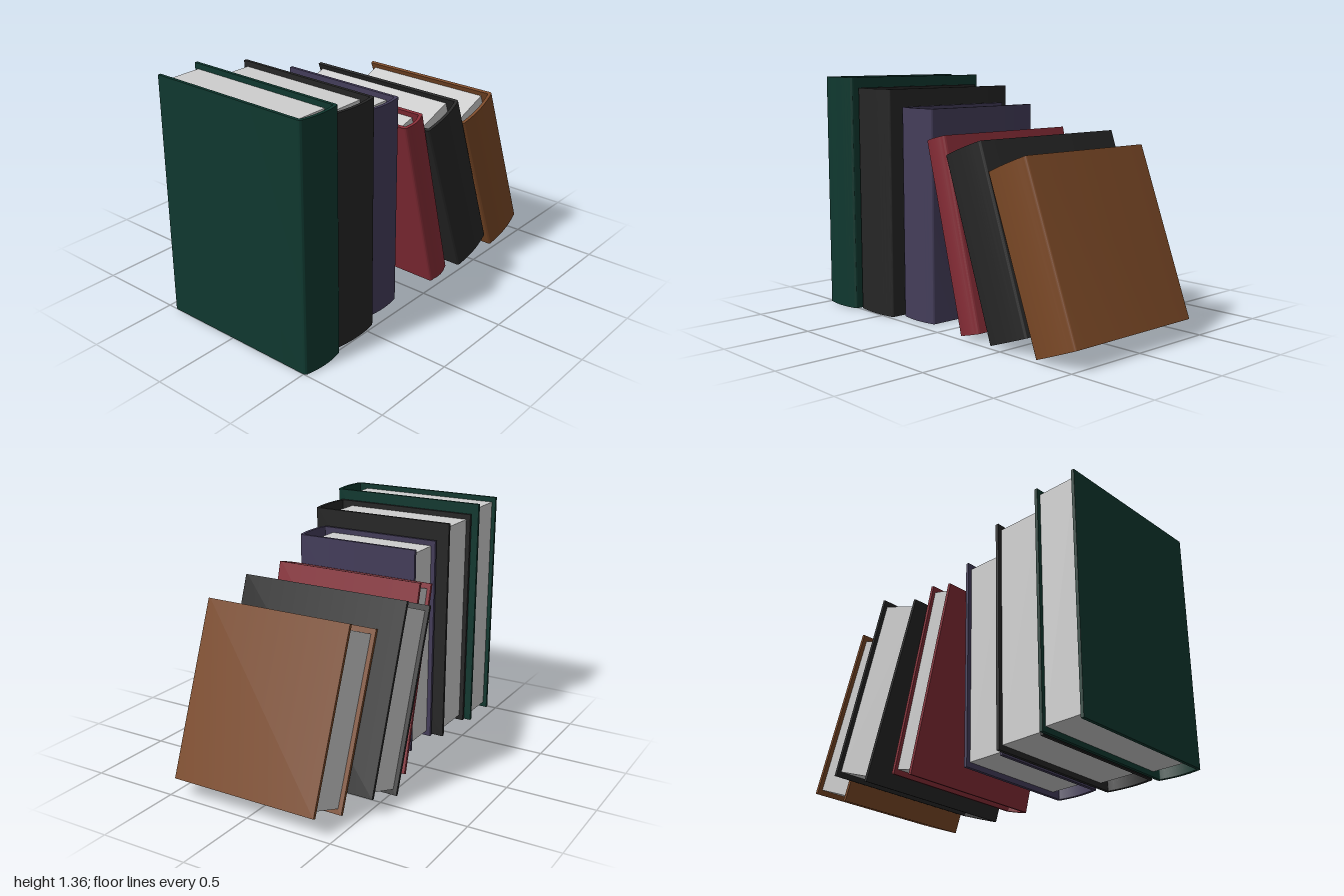
import * as THREE from 'three';
import { toCreasedNormals } from 'three/addons/utils/BufferGeometryUtils.js';

const T = 0.018; // cover board thickness
const INSET = 0.03; // pages sit inside the cover at top and bottom

const material = (name, color) => {
  const m = new THREE.MeshStandardMaterial({ color });
  m.name = name;
  return m;
};

// U-shaped cover outline (x, -z) with rounded corners and a gently bulging spine
function coverShape(w, back, front) {
  const s = new THREE.Shape();
  const r = 0.02, side = front - 0.032, edge = front - 0.013, bulge = front + 0.013;
  s.moveTo(0, -back);
  s.lineTo(0, -side);
  s.quadraticCurveTo(0, -edge, r, -edge);
  s.quadraticCurveTo(w / 2, -bulge, w - r, -edge);
  s.quadraticCurveTo(w, -edge, w, -side);
  s.lineTo(w, -back);
  s.lineTo(w - T, -back);
  s.lineTo(w - T, -(side - 0.004));
  s.quadraticCurveTo(w - T, -(edge - T), w - T - 0.008, -(edge - T));
  s.quadraticCurveTo(w / 2, -(bulge - T), T + 0.008, -(edge - T));
  s.quadraticCurveTo(T, -(edge - T), T, -(side - 0.004));
  s.lineTo(T, -back);
  s.closePath();
  return s;
}

// The book's origin is its lower left corner, about which it leans
function book(b, pageMaterial) {
  const g = new THREE.Group();
  g.name = b.name;

  let geo = new THREE.ExtrudeGeometry(coverShape(b.w, b.back, b.front),
    { depth: b.h, bevelEnabled: false, curveSegments: 10 });
  geo.rotateX(-Math.PI / 2);
  geo = toCreasedNormals(geo, 0.7);
  const cover = new THREE.Mesh(geo, b.mat);
  cover.name = 'cover';

  // page block, leaving a hollow behind the spine
  const [p0, p1] = b.pages;
  const pages = new THREE.Mesh(
    new THREE.BoxGeometry(b.w - 2 * T, b.h - 2 * INSET, p1 - p0), pageMaterial);
  pages.position.set(b.w / 2, b.h / 2, (p0 + p1) / 2);
  pages.name = 'pages';

  g.add(cover, pages);
  g.position.x = b.x;
  g.rotation.z = THREE.MathUtils.degToRad(b.lean || 0);
  return g;
}

export function createModel() {
  const paper = material('paper grey', 0xcdcdcd);
  const green = material('dark green', 0x0f382f);
  const black = material('black', 0x262626);
  const purple = material('muted purple', 0x443d5a);
  const red = material('dark red', 0x852c36);
  const brown = material('brown', 0x7a4826);

  const books = [
    { name: 'greenBook', mat: green, x: -1, w: 0.263, h: 1.36, back: -0.443, front: 0.53, pages: [-0.42, 0.445] },
    { name: 'tallBlackBook', mat: black, x: -0.727, w: 0.302, h: 1.3, back: -0.405, front: 0.495, pages: [-0.38, 0.4] },
    { name: 'purpleBook', mat: purple, x: -0.407, w: 0.267, h: 1.2, back: -0.34, front: 0.425, pages: [-0.315, 0.34] },
    { name: 'redBook', mat: red, x: 0.135, w: 0.155, h: 1.065, lean: 14.7, back: -0.455, front: 0.468, pages: [-0.435, 0.388] },
    { name: 'leaningBlackBook', mat: black, x: 0.388, w: 0.29, h: 1.024, lean: 19.6, back: -0.54, front: 0.485, pages: [-0.517, 0.39] },
    { name: 'brownBook', mat: brown, x: 0.725, w: 0.295, h: 0.97, lean: 21, back: -0.405, front: 0.485, pages: [-0.38, 0.4] },
  ];

  const model = new THREE.Group();
  model.name = 'rowOfBooks';
  for (const b of books) model.add(book(b, paper));
  return model;
}
